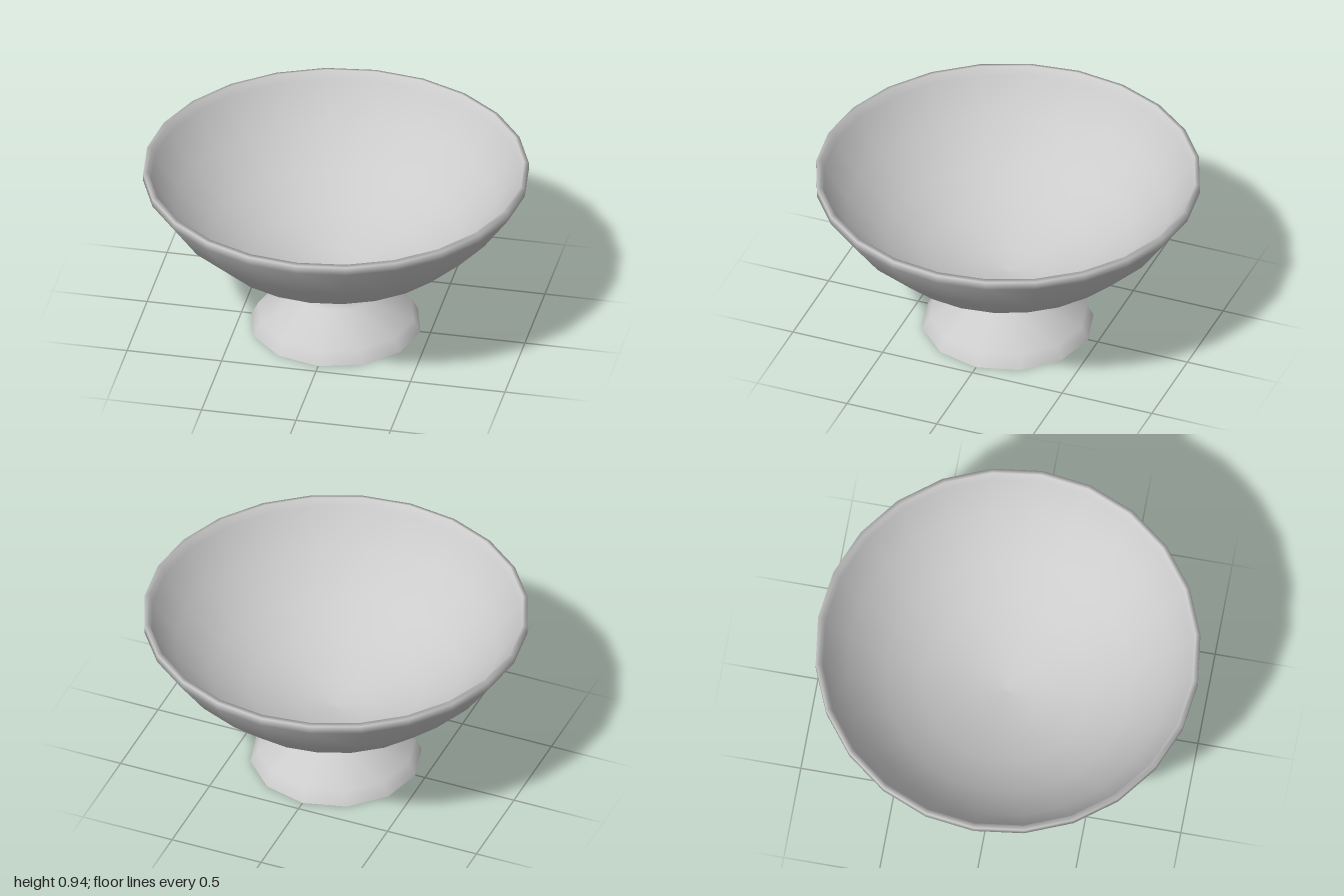
import * as THREE from 'three';

const material = new THREE.MeshStandardMaterial({ color: 0xcccccc });

// Revolve a profile of [radius, height] pairs, listed from the underside up and over
function turned(name, profile, sides) {
  const points = profile.map(([r, y]) => new THREE.Vector2(r, y));
  const mesh = new THREE.Mesh(new THREE.LatheGeometry(points, sides), material);
  mesh.name = name;
  return mesh;
}

export function createModel() {
  const group = new THREE.Group();
  group.name = 'footedBowl';

  // Thin-walled bowl: outer wall, rim, then inner wall down to the centre
  group.add(turned('bowl', [
    [0.185, 0.294], [0.2, 0.3], [0.45, 0.397], [0.66, 0.51], [0.86, 0.695],
    [1, 0.89], [1, 0.935], [0.975, 0.94],
    [0.96, 0.89], [0.838, 0.712], [0.643, 0.533], [0.438, 0.423], [0.19, 0.33], [0, 0.315],
  ], 24));

  // Flared foot with a narrow neck, meeting the bowl
  group.add(turned('foot', [
    [0.447, 0], [0.41, 0.07], [0.23, 0.21], [0.2, 0.255], [0.208, 0.305],
  ], 12));

  // Flat underside of the foot
  const base = new THREE.Mesh(new THREE.CircleGeometry(0.447, 12), material);
  base.name = 'footBase';
  base.rotation.x = Math.PI / 2;
  group.add(base);

  return group;
}
